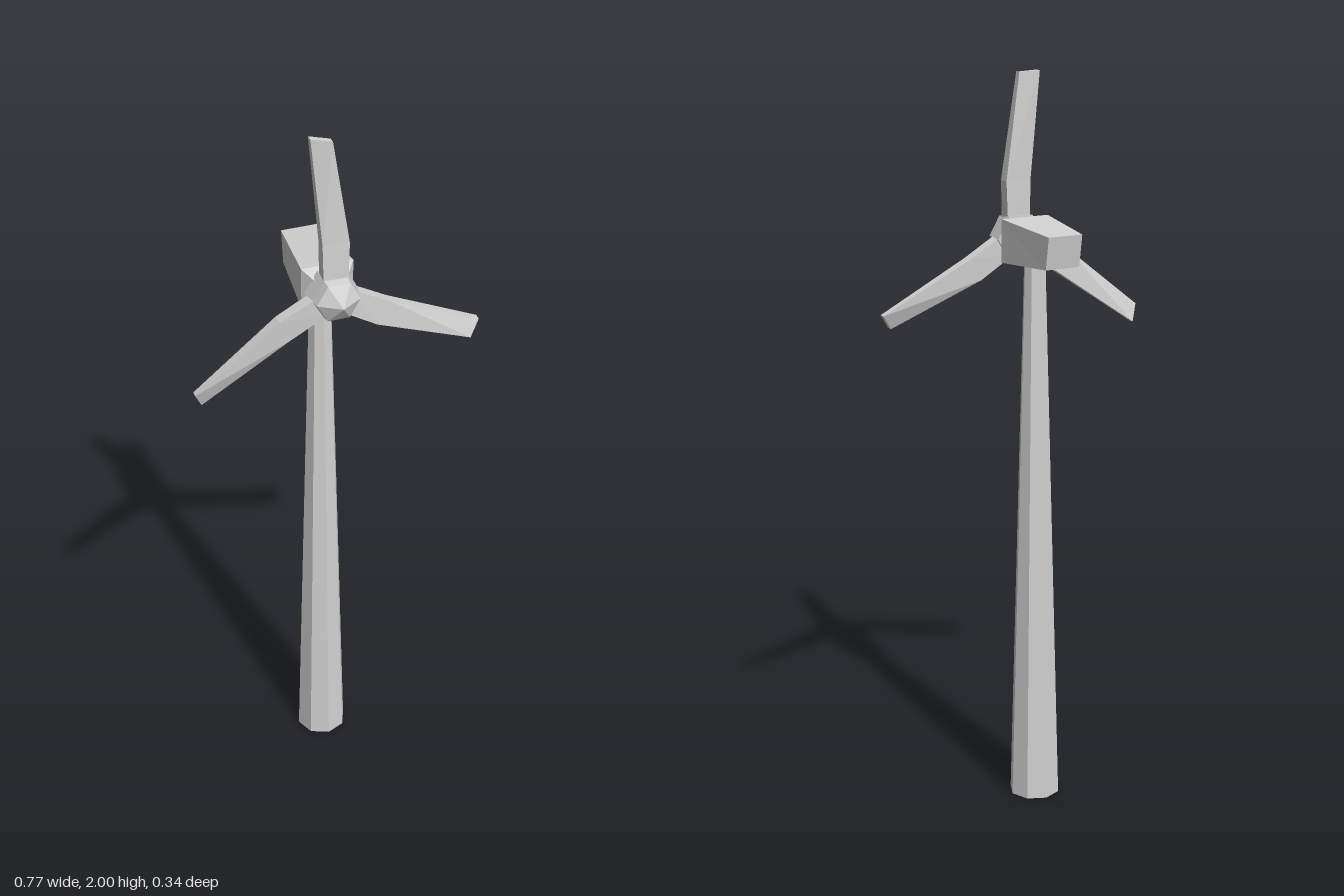
import * as THREE from 'three';

// Skins a list of cross-sections (counter-clockwise seen from the last one) with flat faces and end caps.
function loft(sections) {
  const pos = [];
  const tri = (a, b, c) => pos.push(...a, ...b, ...c);
  const n = sections[0].length;
  for (let i = 0; i < sections.length - 1; i++) {
    for (let j = 0; j < n; j++) {
      const k = (j + 1) % n;
      const a = sections[i][j], b = sections[i][k];
      const c = sections[i + 1][k], d = sections[i + 1][j];
      tri(a, b, c);
      tri(a, c, d);
    }
  }
  const first = sections[0], last = sections[sections.length - 1];
  for (let j = 1; j < n - 1; j++) {
    tri(first[0], first[j + 1], first[j]);
    tri(last[0], last[j], last[j + 1]);
  }
  const geo = new THREE.BufferGeometry();
  geo.setAttribute('position', new THREE.Float32BufferAttribute(pos, 3));
  geo.computeVertexNormals();
  return geo;
}

export function createModel() {
  const group = new THREE.Group();
  const grey = new THREE.MeshStandardMaterial({ color: 0xd2d2d2 });
  grey.name = 'light grey';
  const add = (name, geo, parent = group) => {
    const mesh = new THREE.Mesh(geo, grey);
    mesh.name = name;
    parent.add(mesh);
    return mesh;
  };
  const cx = -0.018, hubY = 1.565;

  // Tapered eight-sided tower, open at the ends
  const towerGeo = new THREE.CylinderGeometry(0.029, 0.07, 1.52, 8, 1, true).toNonIndexed();
  towerGeo.computeVertexNormals();
  add('tower', towerGeo).position.set(cx, 0.76, -0.011);

  // Nacelle: half width, bottom y, top y, bottom z, top z
  const nacelle = [
    [0.049, 1.52, 1.607, -0.158, -0.173],
    [0.069, 1.507, 1.623, 0.045, 0.045],
    [0.042, 1.53, 1.6, 0.08, 0.08],
  ].map(([w, y0, y1, z0, z1]) => [
    [cx - w, y0, z0], [cx + w, y0, z0], [cx + w, y1, z1], [cx - w, y1, z1],
  ]);
  add('nacelle', loft(nacelle));

  // Rotor: six-sided hub with a pointed nose
  const rotor = new THREE.Group();
  rotor.name = 'rotor';
  rotor.position.set(cx, hubY, 0);
  group.add(rotor);
  const hub = [[0.068, 0.065], [0.062, 0.11], [0.058, 0.133], [0.0005, 0.169]].map(([r, z]) =>
    Array.from({ length: 6 }, (_, i) => {
      const a = (i * Math.PI) / 3;
      return [r * Math.cos(a), r * Math.sin(a), z];
    }));
  add('hub', loft(hub), rotor);

  // Blade: leading x, y, back z, front z, then the same for the trailing edge
  const blade = [
    [0.032, 0.03, 0.077, 0.112, -0.032, 0.03, 0.075, 0.11],
    [0.036, 0.15, 0.078, 0.109, -0.033, 0.152, 0.073, 0.104],
    [-0.005, 0.43, 0.083, 0.1, -0.055, 0.435, 0.063, 0.081],
  ].map(([x0, y0, b0, f0, x1, y1, b1, f1]) => [
    [x0, y0, f0], [x0, y0, b0], [x1, y1, b1], [x1, y1, f1],
  ]);
  const bladeGeo = loft(blade);
  for (let i = 0; i < 3; i++) {
    add('blade' + (i + 1), bladeGeo, rotor).rotation.z = (i * Math.PI * 2) / 3;
  }

  return group;
}
